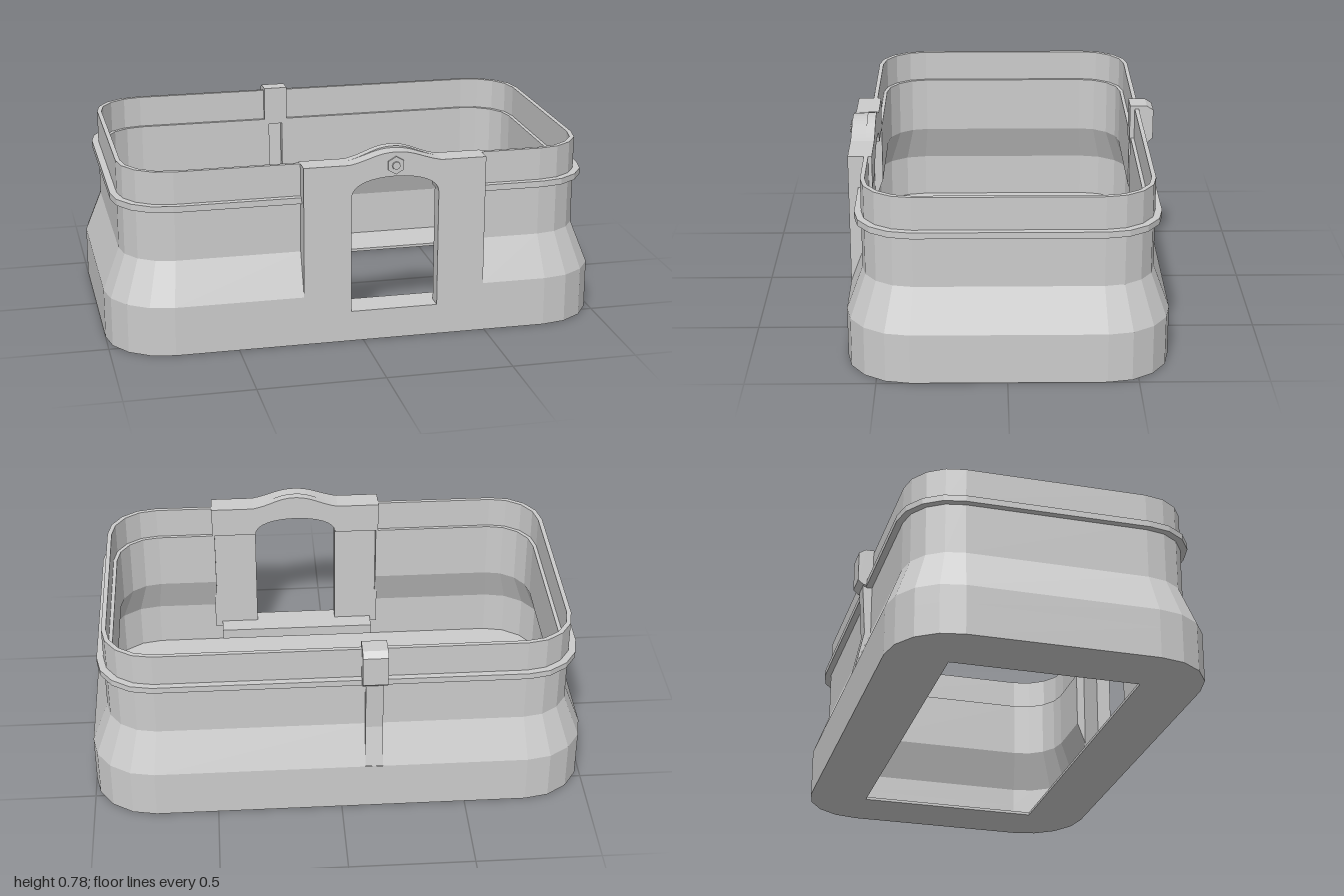
import * as THREE from 'three';

const material = new THREE.MeshStandardMaterial({ color: 0xcccccc, flatShading: true, side: THREE.DoubleSide });
const CZ = -0.005; // depth centre of the shell
const DOOR = { left: -0.05, right: 0.30, sill: 0.125, spring: 0.6, top: 0.675 };
const PLATE = { left: -0.24, right: 0.49 };
const RIB = { left: -0.165, right: -0.095 };
const REAR_GAP = 10, FRONT_GAP = 22; // ring segments between the cut lines

function add(group, name, geometry) {
  const mesh = new THREE.Mesh(geometry, material);
  mesh.name = name;
  group.add(mesh);
  return mesh;
}

// Rounded rectangle at height y: four corners of five points, with cut lines in the rear and front walls
function ring(hx, hz, r, y) {
  const pts = [];
  [[1, 1], [1, -1], [-1, -1], [-1, 1]].forEach(([sx, sz], c) => {
    for (let k = 0; k <= 4; k++) {
      const a = Math.PI / 2 * (1 - c - k / 4);
      pts.push([sx * (hx - r) + r * Math.cos(a), y, CZ + sz * (hz - r) + r * Math.sin(a)]);
    }
    if (c === 1) pts.push([RIB.right, y, CZ - hz], [RIB.left, y, CZ - hz]);
    if (c === 3) pts.push([PLATE.left, y, CZ + hz], [PLATE.right, y, CZ + hz]);
  });
  return pts;
}

// Ring moved inwards from the foot outline
const inset = ([t, y]) => ring(1 - t, 0.625 - 0.95 * t, 0.25 - 0.75 * t, y);

// Join rings into a closed tube, leaving out the quads that skip() picks
function loft(rings, skip) {
  const n = rings[0].length, index = [];
  rings.forEach((_, i) => {
    const next = (i + 1) % rings.length;
    for (let j = 0; j < n; j++) {
      if (skip(i, j)) continue;
      const k = (j + 1) % n;
      const a = i * n + j, b = i * n + k, c = next * n + k, d = next * n + j;
      index.push(a, b, c, a, c, d);
    }
  });
  const g = new THREE.BufferGeometry();
  g.setAttribute('position', new THREE.Float32BufferAttribute(rings.flat(2), 3));
  g.setIndex(index);
  const flat = g.toNonIndexed();
  flat.computeVertexNormals();
  return flat;
}

const extrude = (shape, depth) =>
  new THREE.ExtrudeGeometry(shape, { depth, bevelEnabled: false, curveSegments: 8 });

// Side profile of [z, y] points swept across from x0 to x1
function sideExtrude(pts, x0, x1) {
  const shape = new THREE.Shape(pts.map(([z, y]) => new THREE.Vector2(-z, y)));
  return extrude(shape, x1 - x0).rotateY(Math.PI / 2).translate(x0, 0, 0);
}

function box(x0, x1, y0, y1, z0, z1) {
  return new THREE.BoxGeometry(x1 - x0, y1 - y0, z1 - z0)
    .translate((x0 + x1) / 2, (y0 + y1) / 2, (z0 + z1) / 2);
}

// Panel with a raised crown, open below through an arched doorway
function archPanel(bottom, crown, depth) {
  const mid = (DOOR.left + DOOR.right) / 2;
  const s = new THREE.Shape();
  s.moveTo(PLATE.left, bottom);
  s.lineTo(DOOR.left, bottom);
  s.lineTo(DOOR.left, DOOR.spring);
  s.bezierCurveTo(DOOR.left, 0.65, 0.03, DOOR.top, mid, DOOR.top);
  s.bezierCurveTo(0.22, DOOR.top, DOOR.right, 0.65, DOOR.right, DOOR.spring);
  s.lineTo(DOOR.right, bottom);
  s.lineTo(PLATE.right, bottom);
  s.lineTo(PLATE.right, 0.73);
  s.lineTo(0.31, 0.73);
  s.bezierCurveTo(0.23, 0.745, 0.2, crown, mid, crown);
  s.bezierCurveTo(0.05, crown, 0.02, 0.745, -0.06, 0.73);
  s.lineTo(PLATE.left, 0.73);
  return extrude(s, depth);
}

export function createModel() {
  const group = new THREE.Group();

  // Hollow body: outside up, over the rim, down past an inner step, round the floor opening
  const outlines = [
    [0, 0], [0, DOOR.sill], [0, 0.2], [0.067, 0.37], [0.067, 0.6], [0.067, 0.73],
    [0.085, 0.73], [0.085, 0.6], [0.1, 0.6], [0.1, 0.36], [0.035, 0.2],
    [0.035, DOOR.sill], [0.035, 0.012],
  ].map(inset);
  const hole = [0.012, 0].map((y) => ring(0.75, 0.378, 0.001, y));
  add(group, 'shell', loft([...outlines, ...hole], (i, j) =>
    (j === FRONT_GAP && i >= 1 && i <= 10) || (j === REAR_GAP && [2, 3, 8, 9].includes(i))));

  // Narrow ledge round the outside, broken by the front plate
  const ledge = [[0.067, 0.575], [0.04, 0.575], [0.04, 0.6], [0.067, 0.6]].map(inset);
  add(group, 'outerLedge', loft(ledge, (i, j) => j === FRONT_GAP));

  // Thin front plate, with a lintel bridging the door pocket behind it
  add(group, 'frontPlate', archPanel(0.1, 0.773, 0.06)).position.z = 0.56;
  add(group, 'lintel', archPanel(DOOR.spring, 0.78, 0.035)).position.z = 0.525;

  // Sill, bottom door guide and the ends of the pocket
  add(group, 'sill', box(DOOR.left, DOOR.right, 0.1, DOOR.sill, 0.56, 0.62));
  add(group, 'doorGuide', box(-0.21, 0.46, 0.08, DOOR.sill, 0.485, 0.56));
  for (const x of [PLATE.left, PLATE.right - 0.01]) {
    add(group, 'pocketEnd', sideExtrude([
      [0.525, 0.73], [0.525, 0.36], [0.585, 0.2], [0.585, 0.1], [0.62, 0.1], [0.62, 0.73],
    ], x, x + 0.01));
  }

  // Small stud on the crown
  const stud = new THREE.Group();
  stud.name = 'crownStud';
  stud.position.set((DOOR.left + DOOR.right) / 2, 0.72, 0.62);
  add(stud, 'studBase', new THREE.CylinderGeometry(0.036, 0.036, 0.014, 6).rotateX(Math.PI / 2));
  add(stud, 'studCentre', new THREE.CylinderGeometry(0.016, 0.02, 0.026, 8).rotateX(Math.PI / 2));
  group.add(stud);

  // Rear catch over the rim
  add(group, 'rearCatch', sideExtrude([
    [-0.53, 0.58], [-0.605, 0.58], [-0.628, 0.6], [-0.628, 0.725], [-0.6, 0.743], [-0.53, 0.743],
  ], -0.18, -0.08));

  // Hollow rear rib: outer skin and two cheeks, leaving a groove inside
  add(group, 'rearRib', sideExtrude([
    [-0.575, 0.58], [-0.565, 0.37], [-0.6, 0.2], [-0.628, 0.2], [-0.592, 0.37], [-0.605, 0.58],
  ], RIB.left, RIB.right));
  for (const x of [RIB.left, RIB.right - 0.006]) {
    add(group, 'ribCheek', sideExtrude([
      [-0.535, 0.6], [-0.535, 0.365], [-0.595, 0.2], [-0.625, 0.2], [-0.59, 0.37], [-0.6, 0.58],
    ], x, x + 0.006));
  }

  return group;
}
